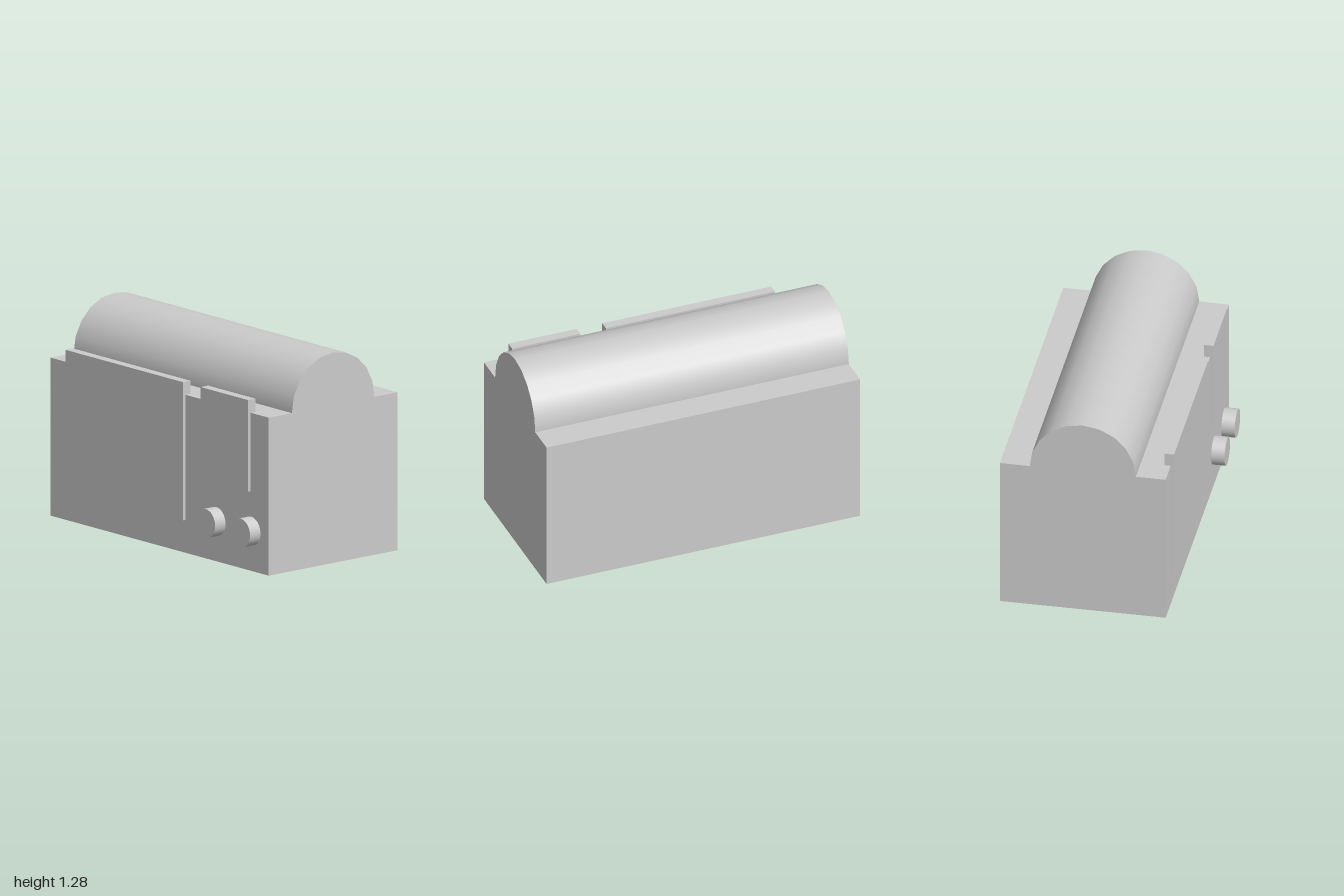
import * as THREE from 'three';

export function createModel() {
  const group = new THREE.Group();
  const material = new THREE.MeshStandardMaterial({ color: 0xcccccc });

  const add = (name, geometry, x, y, z) => {
    const mesh = new THREE.Mesh(geometry, material);
    mesh.name = name;
    mesh.position.set(x, y, z);
    group.add(mesh);
  };

  // Box given by its front outline and depth range
  const addBox = (name, x0, x1, y0, y1, z0, z1) =>
    add(name, new THREE.BoxGeometry(x1 - x0, y1 - y0, z1 - z0),
      (x0 + x1) / 2, (y0 + y1) / 2, (z0 + z1) / 2);

  // Main housing
  addBox('body', -1, 1, 0, 0.962, -0.54, 0.46);

  // Half-round top running the full width
  const dome = new THREE.CylinderGeometry(0.32, 0.32, 2, 10, 1, false, 0, Math.PI);
  dome.rotateZ(Math.PI / 2);
  add('roundedTop', dome, 0, 0.962, -0.04);

  // Raised front plates, standing slightly above the housing
  addBox('largePanel', -0.84, 0.237, 0.2, 1.042, 0.422, 0.48);
  addBox('smallPanel', 0.4, 0.835, 0.484, 1.042, 0.422, 0.48);

  // Two round knobs below the small panel
  for (const x of [0.518, 0.838]) {
    const knob = new THREE.CylinderGeometry(0.087, 0.087, 0.12, 32);
    knob.rotateX(Math.PI / 2);
    add('knob', knob, x, 0.243, 0.481);
  }

  return group;
}
